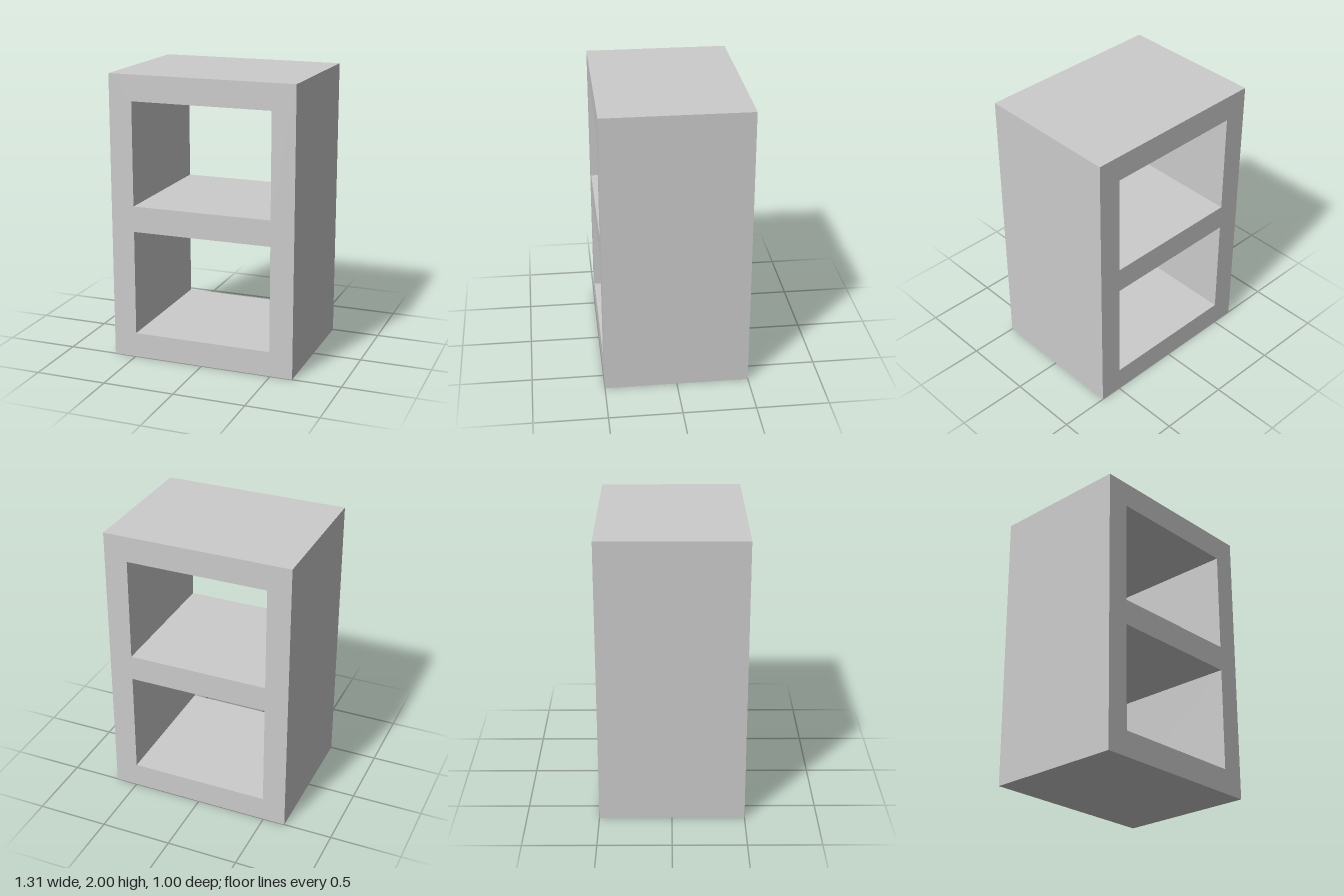
import * as THREE from 'three';

const HALF_WIDTH = 0.657, HEIGHT = 2, DEPTH = 1;
const OPENING_HALF_WIDTH = 0.493;
const OPENINGS = [[0.175, 0.915], [1.095, 1.82]]; // bottom and top of each opening

// Trace a rectangle centred on x = 0
function rectangle(path, halfWidth, bottom, top) {
  path.moveTo(-halfWidth, bottom);
  path.lineTo(halfWidth, bottom);
  path.lineTo(halfWidth, top);
  path.lineTo(-halfWidth, top);
  path.closePath();
  return path;
}

export function createModel() {
  const group = new THREE.Group();
  group.name = 'hollowBlock';

  // Block with two rectangular openings running from front to back
  const outline = rectangle(new THREE.Shape(), HALF_WIDTH, 0, HEIGHT);
  for (const [bottom, top] of OPENINGS) {
    outline.holes.push(rectangle(new THREE.Path(), OPENING_HALF_WIDTH, bottom, top));
  }
  const geometry = new THREE.ExtrudeGeometry(outline, { depth: DEPTH, bevelEnabled: false });
  geometry.translate(0, 0, -DEPTH / 2);

  const block = new THREE.Mesh(
    geometry,
    new THREE.MeshStandardMaterial({ color: 0xcccccc, flatShading: true })
  );
  block.name = 'blockBody';
  group.add(block);
  return group;
}
